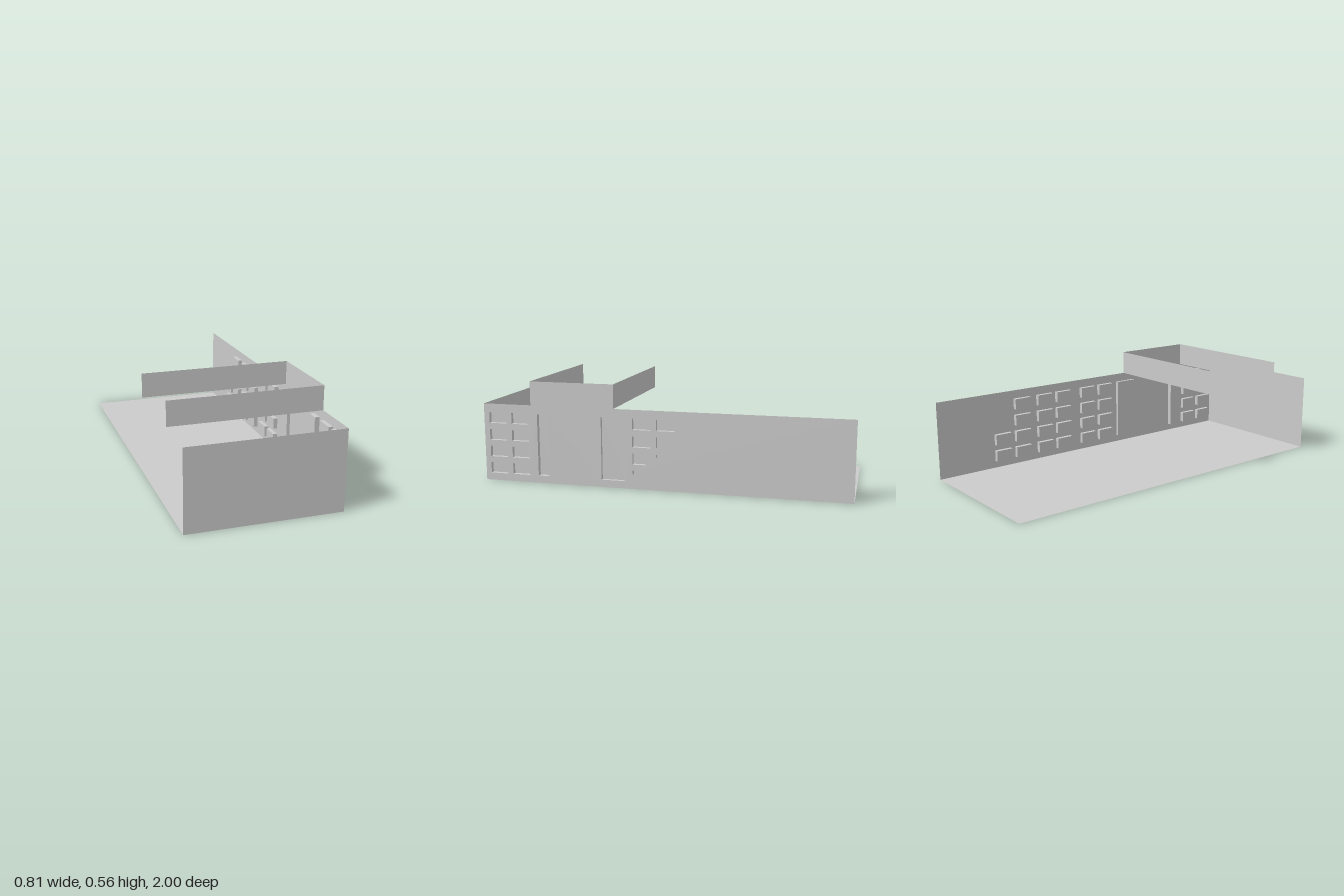
import * as THREE from 'three';

const W = 0.404, H = 0.427, TOP = 0.557;
const TOWER = [0.257, 0.726]; // z range of the raised section
const ROWS = [0.04, 0.133, 0.226, 0.32], WIN_H = 0.06, WIN_W = 0.1;

const material = new THREE.MeshStandardMaterial({ color: 0xcccccc, side: THREE.DoubleSide, flatShading: true });

function add(parent, name, geometry) {
  const mesh = new THREE.Mesh(geometry, material);
  mesh.name = name;
  parent.add(mesh);
  return mesh;
}

const rect = (z0, z1, y0, y1) => [[z0, y0], [z1, y0], [z1, y1], [z0, y1]];
// Side outlines are given as [z, y] and drawn with u = -z
const toPoints = (pts) => pts.map(([z, y]) => new THREE.Vector2(-z, y));

// Five-sided niche, open towards +x
function niche(z0, z1, y0, y1, depth) {
  const g = new THREE.BoxGeometry(depth, y1 - y0, z1 - z0);
  g.setIndex(Array.from(g.index.array).slice(6));
  g.clearGroups();
  return g.translate(W - depth / 2, (y0 + y1) / 2, (z0 + z1) / 2);
}

export function createModel() {
  const group = new THREE.Group();
  group.name = 'buildingShell';

  add(group, 'floor', new THREE.PlaneGeometry(2 * W, 2).rotateX(-Math.PI / 2));
  add(group, 'frontWall', new THREE.PlaneGeometry(2 * W, H).translate(0, H / 2, 1));

  // Raised cross walls
  for (const z of TOWER) {
    add(group, 'raisedCrossWall', new THREE.PlaneGeometry(2 * W, TOP - H).translate(0, (TOP + H) / 2, z));
  }

  // Openings in the side wall; the lower rear ones are partly closed along a diagonal
  const holes = [rect(0.627, 0.69, 0.04, 0.38), rect(0.2, 0.328, 0.04, 0.38)];
  for (const y of ROWS) {
    for (const z of [0.87, 0.74]) holes.push(rect(z, z + WIN_W, y, y + WIN_H));
  }
  for (const y of ROWS.slice(2)) holes.push(rect(0.055, 0.155, y, y + WIN_H));
  holes.push(
    rect(-0.075, 0.025, 0.32, 0.38),
    [[0.025, 0.286], [-0.075, 0.286], [0.025, 0.229]],
    [[0.025, 0.193], [0.002, 0.193], [0.025, 0.177]],
    [[0.155, 0.193], [0.055, 0.193], [0.055, 0.155], [0.085, 0.133], [0.155, 0.133]],
    [[0.155, 0.1], [0.13, 0.1], [0.155, 0.077]],
  );

  // Side wall with its raised section
  const wall = new THREE.Shape(toPoints([
    [1, 0], [-1, 0], [-1, H], [TOWER[0], H], [TOWER[0], TOP], [TOWER[1], TOP], [TOWER[1], H], [1, H],
  ]));
  wall.holes = holes.map((h) => new THREE.Path(toPoints(h)));
  add(group, 'sideWall', new THREE.ShapeGeometry(wall).rotateY(Math.PI / 2).translate(W, 0, 0));

  // Window niches behind the side wall
  const windows = new THREE.Group();
  windows.name = 'windowNiches';
  group.add(windows);
  for (const z of [0.87, 0.74, 0.055, -0.075, -0.25, -0.38, -0.53, -0.66]) {
    const rows = z < -0.6 ? ROWS.slice(0, 2) : ROWS;
    for (const y of rows) add(windows, 'windowNiche', niche(z, z + WIN_W, y, y + WIN_H, 0.023));
  }
  add(windows, 'tallNarrowNiche', niche(0.627, 0.69, 0.04, 0.38, 0.026));
  add(windows, 'tallWideNiche', niche(0.2, 0.328, 0.04, 0.38, 0.018));

  return group;
}
